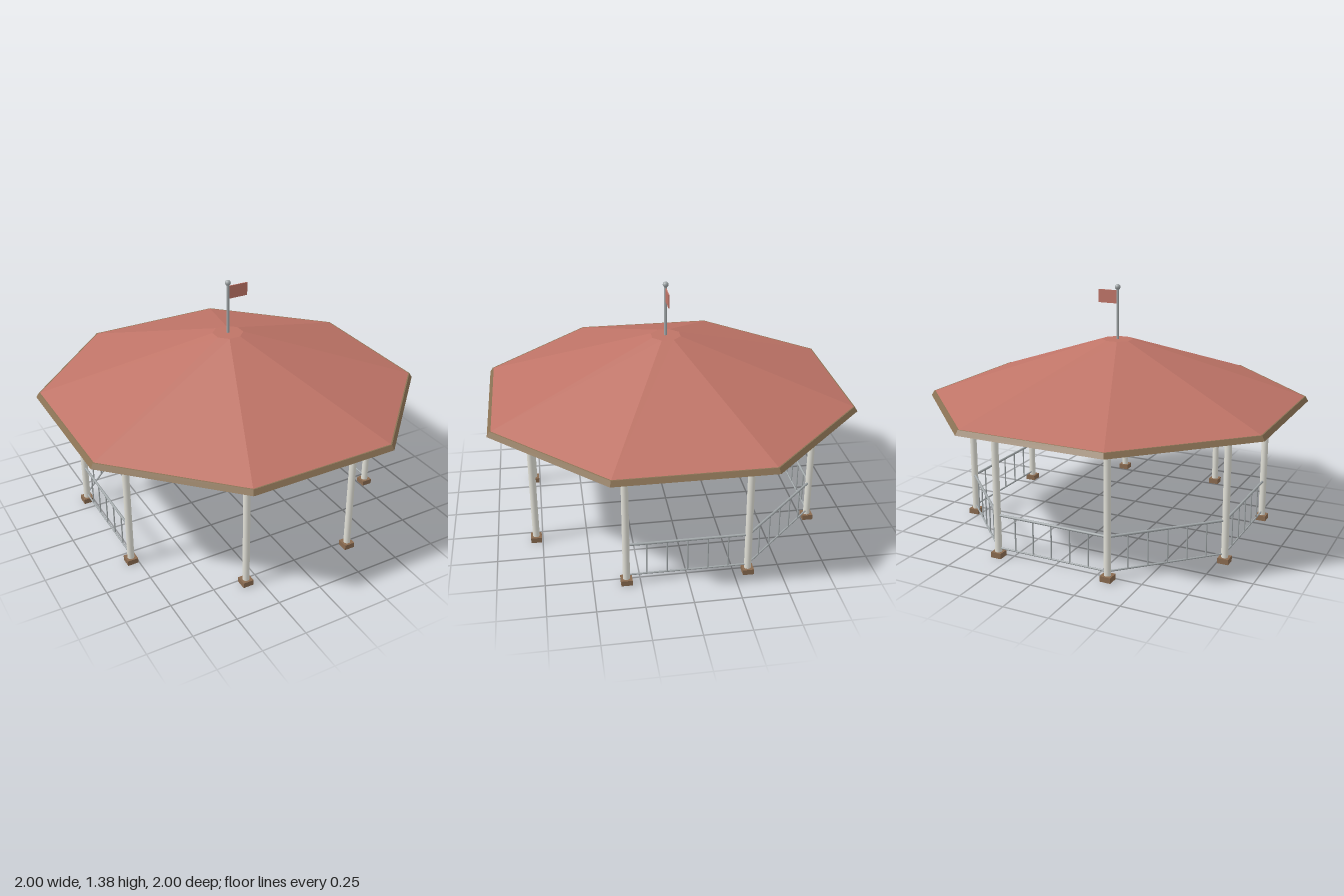
import * as THREE from 'three';
import { toCreasedNormals } from 'three/addons/utils/BufferGeometryUtils.js';

export function createModel() {
  const root = new THREE.Group();
  root.name = 'pavilion';

  const mat = (name, color) => {
    const m = new THREE.MeshStandardMaterial({ color });
    m.name = name;
    return m;
  };
  const roofRed = mat('roof red', 0xbf7467);
  const trimBrown = mat('trim brown', 0x8b7355);
  const baseBrown = mat('base brown', 0x8a6b50);
  const postWhite = mat('post white', 0xe2e1d8);
  const metalGrey = mat('metal grey', 0xa2a8aa);

  const add = (parent, name, geometry, material, x = 0, y = 0, z = 0) => {
    const mesh = new THREE.Mesh(geometry, material);
    mesh.name = name;
    mesh.position.set(x, y, z);
    parent.add(mesh);
    return mesh;
  };

  // Octagonal frustum with flat sides facing the axes, sized by apothem
  const octagon = (top, bottom, y0, y1) => {
    const k = 1 / Math.cos(Math.PI / 8);
    const g = new THREE.CylinderGeometry(top * k, bottom * k, y1 - y0, 8, 1, false, Math.PI / 8);
    g.translate(0, (y0 + y1) / 2, 0);
    return toCreasedNormals(g, 0.05);
  };

  // Roof and eaves
  add(root, 'eaves', octagon(0.985, 1.0, 0.725, 0.752), trimBrown);
  add(root, 'roof', octagon(0.08, 0.984, 0.75, 1.07), roofRed);

  // Flagpole, ball and flag
  add(root, 'flagpole', new THREE.CylinderGeometry(0.008, 0.008, 0.3, 16), metalGrey, 0, 1.21, 0);
  add(root, 'poleBall', new THREE.SphereGeometry(0.016, 20, 14), metalGrey, 0, 1.364, 0);
  add(root, 'flag', new THREE.BoxGeometry(0.116, 0.074, 0.006), roofRed, 0.062, 1.308, 0);

  // Posts with square bases and caps
  const R = 0.85;
  const side = 2 * R * Math.sin(Math.PI / 8);
  const apothem = R * Math.cos(Math.PI / 8);
  const postGeo = new THREE.CylinderGeometry(0.019, 0.019, 0.66, 20);
  const baseGeo = new THREE.BoxGeometry(0.06, 0.03, 0.06);
  const capGeo = new THREE.BoxGeometry(0.055, 0.022, 0.055);
  for (let i = 0; i < 8; i++) {
    const a = Math.PI / 8 + (i * Math.PI) / 4;
    const post = new THREE.Group();
    post.name = 'post';
    post.position.set(R * Math.sin(a), 0, R * Math.cos(a));
    add(post, 'postBase', baseGeo, baseBrown, 0, 0.015, 0);
    add(post, 'postShaft', postGeo, postWhite, 0, 0.36, 0);
    add(post, 'postCap', capGeo, postWhite, 0, 0.69, 0);
    root.add(post);
  }

  // Each side has a beam; the three front sides stay open without a railing
  const rod = (r, length) => new THREE.CylinderGeometry(r, r, length, 12);
  const topRail = rod(0.007, side).rotateZ(Math.PI / 2);
  const bottomRail = rod(0.005, side).rotateZ(Math.PI / 2);
  const baluster = rod(0.004, 0.185);
  const beam = new THREE.BoxGeometry(side + 0.012, 0.025, 0.03);
  for (let i = 0; i < 8; i++) {
    const bay = new THREE.Group();
    bay.name = 'bay';
    bay.rotation.y = (i * Math.PI) / 4;
    add(bay, 'beam', beam, postWhite, 0, 0.7125, apothem);
    if (i >= 2 && i <= 6) {
      add(bay, 'topRail', topRail, metalGrey, 0, 0.238, apothem);
      add(bay, 'bottomRail', bottomRail, metalGrey, 0, 0.05, apothem);
      for (let j = -2; j <= 2; j++) {
        add(bay, 'baluster', baluster, metalGrey, (j * side) / 6, 0.144, apothem);
      }
    }
    root.add(bay);
  }

  return root;
}
